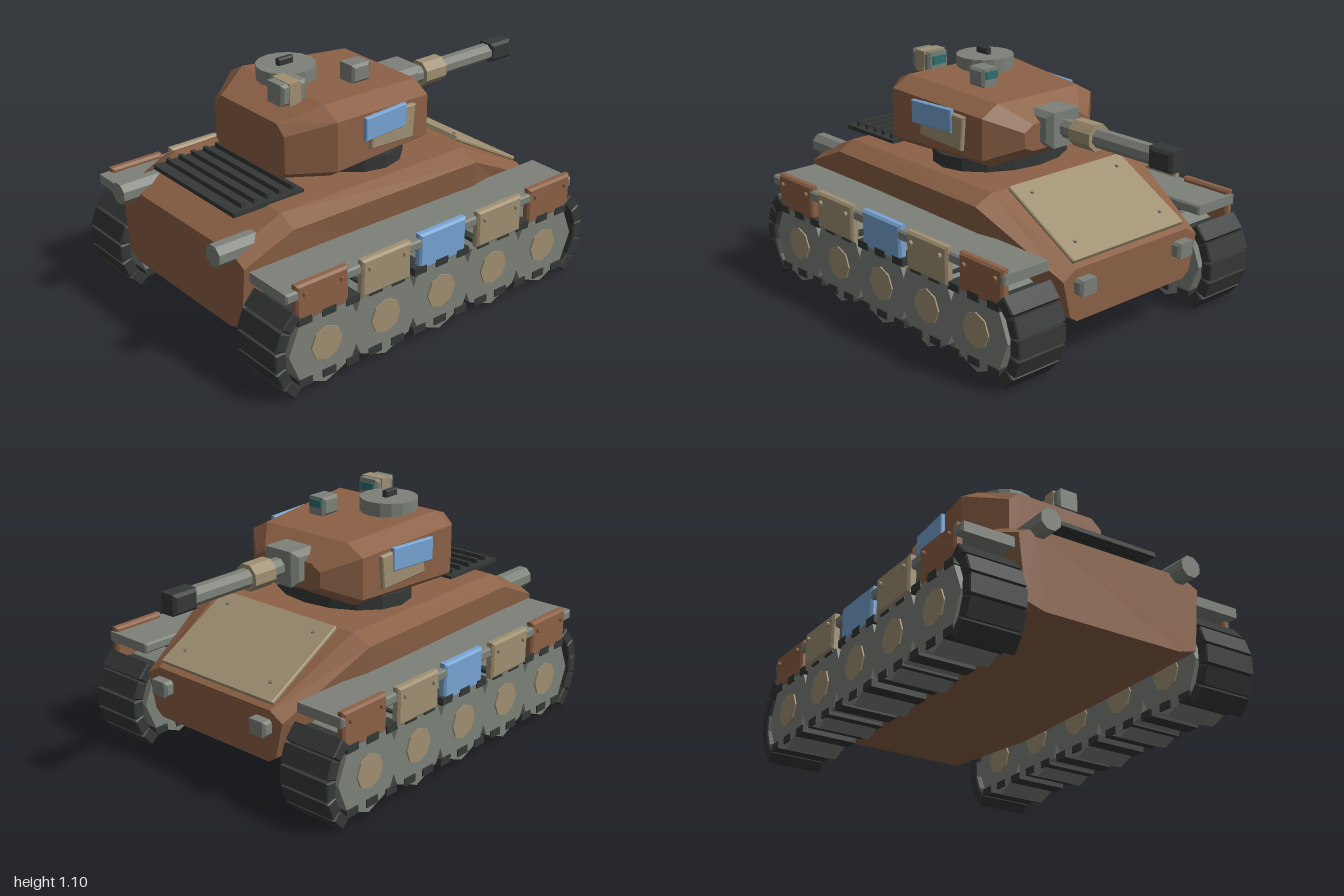
import * as THREE from 'three';

const mat = (color, side = THREE.FrontSide) =>
  new THREE.MeshStandardMaterial({ color, flatShading: true, side });
const BROWN = mat(0x8c6146), TAN = mat(0xa09072), BLUE = mat(0x78a4d4);
const GREY = mat(0x7c8179), DARK = mat(0x343836), GLASS = mat(0x2f6f70);

function add(parent, name, geometry, material, x = 0, y = 0, z = 0) {
  const mesh = new THREE.Mesh(geometry, material);
  mesh.name = name;
  mesh.position.set(x, y, z);
  parent.add(mesh);
  return mesh;
}

const box = (w, h, d) => new THREE.BoxGeometry(w, h, d);

// Box with chamfered edges
function chamferBox(w, h, d, b) {
  const x = w / 2 - b, y = h / 2 - b;
  const shape = new THREE.Shape([
    new THREE.Vector2(-x, -y), new THREE.Vector2(x, -y),
    new THREE.Vector2(x, y), new THREE.Vector2(-x, y)]);
  return new THREE.ExtrudeGeometry(shape, {
    depth: d - 2 * b, bevelEnabled: true, bevelSize: b, bevelThickness: b, bevelSegments: 1,
  }).translate(0, 0, b - d / 2);
}

// Prisms along x and along z, with a flat side up
const rodX = (r, length, sides = 8) => new THREE.CylinderGeometry(r, r, length, sides)
  .rotateY(Math.PI / sides).rotateZ(Math.PI / 2);
const rodZ = (r, length, sides = 8) => new THREE.CylinderGeometry(r, r, length, sides)
  .rotateX(Math.PI / 2);

// Symmetric eight-cornered armour shell; each section is
// [x, bottom z, y, lower side z, y, shoulder z, y, top z, y]
function armour(sections) {
  const rings = sections.map(([x, bz, by, lz, ly, sz, sy, tz, ty]) => [
    [x, ty, -tz], [x, ty, tz], [x, sy, sz], [x, ly, lz],
    [x, by, bz], [x, by, -bz], [x, ly, -lz], [x, sy, -sz]]);
  const pos = [];
  const tri = (...corners) => corners.forEach((c) => pos.push(...c));
  for (let i = 0; i < rings.length - 1; i++) {
    for (let j = 0; j < 8; j++) {
      const k = (j + 1) % 8, a = rings[i], b = rings[i + 1];
      tri(a[j], a[k], b[k]);
      tri(a[j], b[k], b[j]);
    }
  }
  const back = rings[0], front = rings[rings.length - 1];
  for (let j = 1; j < 7; j++) {
    tri(front[0], front[j], front[j + 1]);
    tri(back[0], back[j + 1], back[j]);
  }
  const geometry = new THREE.BufferGeometry();
  geometry.setAttribute('position', new THREE.Float32BufferAttribute(pos, 3));
  geometry.computeVertexNormals();
  return geometry;
}

function createHull() {
  const hull = new THREE.Group();
  hull.name = 'hull';
  add(hull, 'hullBody', armour([
    [-0.92, 0.34, 0.185, 0.43, 0.21, 0.46, 0.50, 0.38, 0.54],
    [-0.68, 0.35, 0.185, 0.44, 0.21, 0.475, 0.605, 0.39, 0.65],
    [0.33, 0.36, 0.185, 0.45, 0.21, 0.50, 0.61, 0.405, 0.65],
    [0.77, 0.33, 0.185, 0.37, 0.215, 0.41, 0.38, 0.34, 0.42],
  ]), BROWN);

  // Sloped front plate with its four bolts
  const plate = new THREE.Group();
  plate.name = 'frontPlate';
  plate.position.set(0.555, 0.553, 0);
  plate.rotation.z = -0.51;
  add(plate, 'platePanel', chamferBox(0.45, 0.02, 0.68, 0.005), TAN);
  for (const x of [-0.16, 0.14]) for (const z of [-0.26, 0.26])
    add(plate, 'plateBolt', new THREE.CylinderGeometry(0.008, 0.008, 0.01, 6), GREY, x, 0.013, z);
  hull.add(plate);

  // Engine grille on the rear deck
  add(hull, 'grilleBase', box(0.36, 0.02, 0.6), DARK, -0.67, 0.655, 0);
  for (let i = 0; i < 5; i++)
    add(hull, 'grilleBar', box(0.018, 0.028, 0.56), DARK, -0.79 + i * 0.065, 0.674, 0);

  for (const s of [1, -1]) {
    add(hull, 'headlamp', chamferBox(0.06, 0.07, 0.1, 0.012), GREY, 0.785, 0.345, s * 0.3);
    add(hull, 'exhaust', rodX(0.051, 0.2), GREY, -0.9, 0.55, s * 0.36);
  }
  return hull;
}

function createTrack(s) {
  const track = new THREE.Group();
  track.name = s > 0 ? 'leftTrack' : 'rightTrack';
  const z = s * 0.58, first = -0.7, last = 0.57, cy = 0.195;
  const step = (last - first) / 4;

  // Road wheels with hubs
  for (let i = 0; i < 5; i++) {
    add(track, 'roadWheel', rodZ(0.19, 0.25), GREY, first + i * step, cy, z);
    add(track, 'wheelHub', rodZ(0.08, 0.264), TAN, first + i * step, cy, z);
  }

  // Links along the straight runs, then around both ends
  for (let i = 0; i < 13; i++)
    for (const dy of [-0.145, 0.145])
      add(track, 'trackLink', box(0.07, 0.035, 0.262), DARK, -0.81 + i * 0.124, cy + dy, z);
  for (const dir of [-1, 1]) {
    for (const a of [-0.72, -0.36, 0, 0.36, 0.72]) {
      const link = add(track, 'endLink', chamferBox(0.055, 0.082, 0.265, 0.006), DARK,
        (dir > 0 ? last : first) + dir * 0.235 * Math.cos(a), cy + 0.235 * Math.sin(a), z);
      link.rotation.z = dir * a;
    }
  }

  // Fender and hanging skirt panels
  add(track, 'fender', chamferBox(1.64, 0.046, 0.25, 0.008), GREY, -0.08, 0.463, s * 0.583);
  [BROWN, TAN, BLUE, TAN, BROWN].forEach((material, i) => {
    const x = -0.715 + i * 0.328, out = i % 2 ? 0.7 : 0.688;
    add(track, 'skirtPanel', chamferBox(0.267, 0.172, 0.042, 0.01), material, x, 0.421, s * out);
    if (material !== BLUE)
      for (const dx of [-0.095, 0.095])
        add(track, 'skirtBolt', rodZ(0.011, 0.02), material, x + dx, 0.463, s * (out + 0.024));
  });
  return track;
}

function createTurret() {
  const turret = new THREE.Group();
  turret.name = 'turret';
  const ring = add(turret, 'turretRing',
    new THREE.CylinderGeometry(1, 1, 0.07, 16), DARK, -0.07, 0.675, 0);
  ring.scale.set(0.265, 1, 0.345);
  add(turret, 'turretBody', armour([
    [-0.55, 0.21, 0.70, 0.25, 0.73, 0.25, 0.90, 0.2, 0.945],
    [-0.37, 0.33, 0.70, 0.38, 0.735, 0.38, 0.96, 0.29, 1.01],
    [0.18, 0.28, 0.70, 0.33, 0.735, 0.33, 0.925, 0.24, 0.975],
    [0.30, 0.14, 0.77, 0.19, 0.79, 0.19, 0.86, 0.14, 0.89],
  ]), BROWN);

  // Overlapping side plates
  for (const s of [1, -1]) {
    const tan = add(turret, 'sidePlate', chamferBox(0.26, 0.155, 0.03, 0.006), TAN,
      -0.05, 0.85, s * 0.357);
    tan.rotation.set(0, s * 0.09, -0.09);
    const blue = add(turret, 'sidePatch', chamferBox(0.247, 0.105, 0.024, 0.004), BLUE,
      -0.102, 0.888, s * 0.372);
    blue.rotation.y = s * 0.09;
  }

  // Gun
  add(turret, 'mantlet', chamferBox(0.13, 0.16, 0.2, 0.025), GREY, 0.295, 0.86, 0);
  add(turret, 'barrel', rodX(0.043, 0.56), GREY, 0.62, 0.86, 0);
  add(turret, 'barrelSleeve', rodX(0.063, 0.125), TAN, 0.493, 0.86, 0);
  add(turret, 'muzzle', chamferBox(0.13, 0.092, 0.092, 0.013), DARK, 0.935, 0.862, 0);

  // Roof hatch, sight and periscope
  add(turret, 'hatch', new THREE.CylinderGeometry(0.135, 0.135, 0.07, 16), GREY, -0.278, 1.025, -0.09);
  add(turret, 'hatchHandle', chamferBox(0.08, 0.035, 0.03, 0.006), DARK, -0.285, 1.075, -0.09);
  add(turret, 'sightBody', chamferBox(0.13, 0.095, 0.115, 0.012), GREY, -0.432, 1.04, 0.115);
  add(turret, 'sightBand', box(0.06, 0.1, 0.122), TAN, -0.43, 1.04, 0.115);
  add(turret, 'sightGlass', box(0.012, 0.04, 0.075), GLASS, -0.366, 1.048, 0.115);
  add(turret, 'periscopeBody', chamferBox(0.1, 0.085, 0.1, 0.012), GREY, -0.055, 1.033, 0.112);
  add(turret, 'periscopeGlass', box(0.012, 0.035, 0.07), GLASS, -0.004, 1.045, 0.112);
  return turret;
}

export function createModel() {
  const model = new THREE.Group();
  model.name = 'tank';
  model.add(createHull(), createTrack(1), createTrack(-1), createTurret());
  return model;
}
